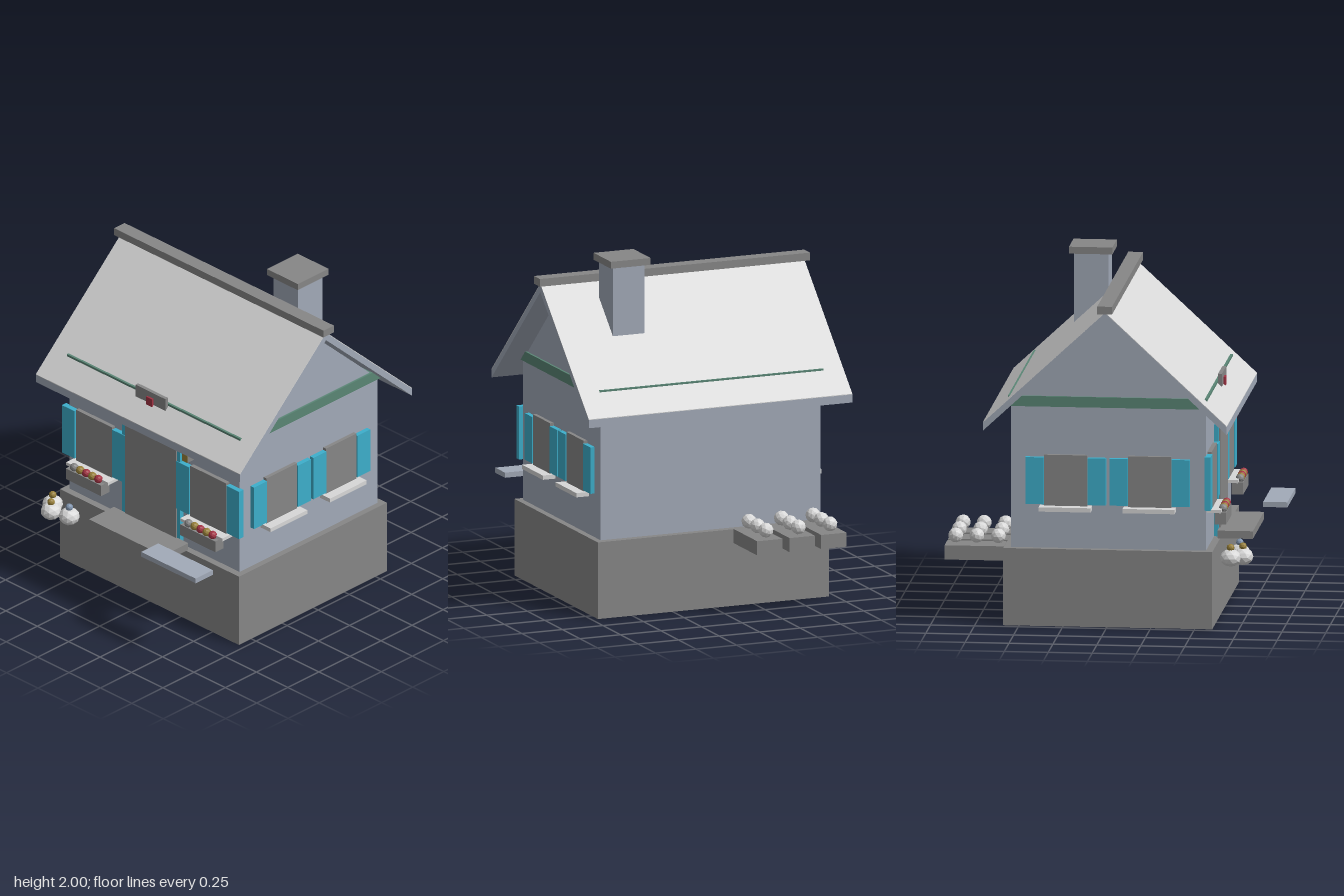
import * as THREE from 'three';

const mat = (name, color) => {
  const m = new THREE.MeshStandardMaterial({ color });
  m.name = name;
  return m;
};

export function createModel() {
  const wall = mat('wall blue grey', 0xa2aab8);
  const stone = mat('stone grey', 0x878787);
  const white = mat('pale white', 0xd8d8d8);
  const teal = mat('shutter teal', 0x3dafcc);
  const green = mat('trim green', 0x5a8675);
  const red = mat('red', 0xa33243);
  const gold = mat('gold', 0x98803a);
  const blue = mat('blossom blue', 0x7f93ad);
  const plinthStone = mat('plinth grey', 0x878787);
  plinthStone.side = THREE.DoubleSide;

  const model = new THREE.Group();
  model.name = 'cottage';

  const add = (name, geo, material, parent = model) => {
    const mesh = new THREE.Mesh(geo, material);
    mesh.name = name;
    parent.add(mesh);
    return mesh;
  };
  // Box given by its extents on each axis
  const box = (name, material, [x0, x1], [y0, y1], [z0, z1], parent) => {
    const m = add(name, new THREE.BoxGeometry(x1 - x0, y1 - y0, z1 - z0), material, parent);
    m.position.set((x0 + x1) / 2, (y0 + y1) / 2, (z0 + z1) / 2);
    return m;
  };
  // Profile of [z, y] points extruded along x, centred on x = 0
  const prism = (name, material, points, width) => {
    const shape = new THREE.Shape(points.map(([z, y]) => new THREE.Vector2(z, y)));
    const geo = new THREE.ExtrudeGeometry(shape, { depth: width, bevelEnabled: false });
    geo.translate(0, 0, -width / 2).rotateY(-Math.PI / 2);
    return add(name, geo, material);
  };
  // Faceted ball
  const ball = (name, material, r, x, y, z, parent, detail = 1) => {
    const geo = new THREE.IcosahedronGeometry(r, detail);
    const m = add(name, geo, material, parent);
    m.position.set(x, y, z);
    return m;
  };
  const group = (name, parent = model) => {
    const g = new THREE.Group();
    g.name = name;
    parent.add(g);
    return g;
  };

  // Hollow plinth, open underneath
  const plinth = new THREE.BoxGeometry(1.425, 0.445, 1.19);
  const index = Array.from(plinth.index.array);
  index.splice(18, 6);
  plinth.setIndex(index);
  plinth.clearGroups();
  add('plinth', plinth, plinthStone).position.set(0, 0.2225, 0.005);

  // House body with gables
  prism('houseBody', wall,
    [[-0.55, 0.446], [0.56, 0.446], [0.56, 1.255], [0, 1.775], [-0.55, 1.262]], 1.355);
  box('eaveBand', green, [-0.69, 0.69], [1.26, 1.32], [-0.565, 0.568]);

  // Roof slab with pale covering on both slopes
  const eave = 0.693;
  prism('roof', wall, [[-eave, 1.14], [0, 1.783], [eave, 1.14],
    [eave, 1.187], [0, 1.83], [-eave, 1.187]], 1.625);
  for (const s of [1, -1]) {
    prism('roofCovering', white, [[0, 1.829], [s * eave, 1.186], [s * eave, 1.191], [0, 1.834]], 1.625);
  }
  box('ridgeCap', stone, [-0.833, 0.833], [1.825, 1.87], [-0.042, 0.042]);

  // Chimney
  box('chimney', wall, [0.297, 0.492], [1.5, 1.96], [-0.295, -0.098]);
  box('chimneyCap', stone, [0.27, 0.515], [1.96, 2.0], [-0.32, -0.073]);

  // Door, frame and steps
  box('doorFrame', teal, [-0.233, 0.23], [0.443, 1.088], [0.555, 0.585]);
  box('door', stone, [-0.203, 0.203], [0.446, 1.062], [0.56, 0.592]);
  box('doorStep', stone, [-0.297, 0.294], [0.446, 0.49], [0.585, 0.787]);
  box('benchSlab', wall, [0.256, 0.69], [0.525, 0.555], [0.787, 0.925]);

  // Plaque above the door with red mark
  box('plaque', stone, [-0.12, 0.12], [1.115, 1.36], [0.57, 0.592]);
  box('plaqueMark', red, [-0.025, 0.025], [1.16, 1.325], [0.592, 0.603]);

  // Wall lantern
  box('lantern', stone, [0.286, 0.33], [1.043, 1.12], [0.555, 0.625]);
  box('lanternGlass', gold, [0.288, 0.328], [1.045, 1.118], [0.625, 0.63]);

  // Front windows with shutters, sills and flower boxes
  for (const cx of [-0.457, 0.453]) {
    const g = group('frontWindow');
    box('pane', stone, [cx - 0.143, cx + 0.143], [0.67, 1.0], [0.555, 0.585], g);
    for (const s of [-1, 1]) {
      const sx = cx + s * 0.2;
      box('shutter', teal, [sx - 0.051, sx + 0.051], [0.682, 0.99], [0.555, 0.59], g);
    }
    box('sill', white, [cx - 0.167, cx + 0.167], [0.653, 0.672], [0.555, 0.64], g);
    box('flowerBox', stone, [cx - 0.142, cx + 0.138], [0.583, 0.652], [0.6, 0.667], g);
    [stone, gold, red, gold, red].forEach((m, i) =>
      ball('flower', m, 0.025, cx - 0.097 + i * 0.048, 0.669, 0.645, g));
  }

  // Side windows, two on each gable wall
  for (const s of [1, -1]) {
    const span = (a, b) => (s > 0 ? [a, b] : [-b, -a]);
    for (const cz of [0.242, -0.236]) {
      const g = group('sideWindow');
      box('pane', stone, span(0.67, 0.7), [0.69, 0.985], [cz - 0.123, cz + 0.123], g);
      for (const t of [-1, 1]) {
        const z = cz + t * 0.177;
        box('shutter', teal, span(0.67, 0.705), [0.7, 0.97], [z - 0.052, z + 0.052], g);
      }
      box('sill', white, span(0.67, 0.756), [0.667, 0.692], [cz - 0.148, cz + 0.148], g);
    }
  }

  // Round pots with blossoms beside the door
  const pots = group('frontPots');
  for (const [x, z, m] of [[-0.672, 0.7, gold], [-0.62, 0.765, gold], [-0.505, 0.735, blue]]) {
    const pot = ball('pot', white, 0.06, x, 0.407, z, pots);
    pot.scale.y = 0.85;
    ball('blossom', m, 0.022, x, 0.465, z, pots);
  }

  // Garden beds behind the house
  const beds = group('gardenBeds');
  [-0.597, -0.402, -0.202].forEach((x, i) => {
    box('bed', stone, [x - 0.078, x + 0.078], [0.365, 0.447], [-0.928, -0.59], beds);
    [-0.63, -0.752, -0.872].forEach((z, j) => {
      const c = ball('cabbage', white, 0.043, x, 0.493, z, beds);
      c.rotation.set(i * 0.7, j * 0.9, i + j);
    });
  });

  // Facets on every face
  for (const m of [stone, white, red, gold, blue]) m.flatShading = true;
  return model;
}
